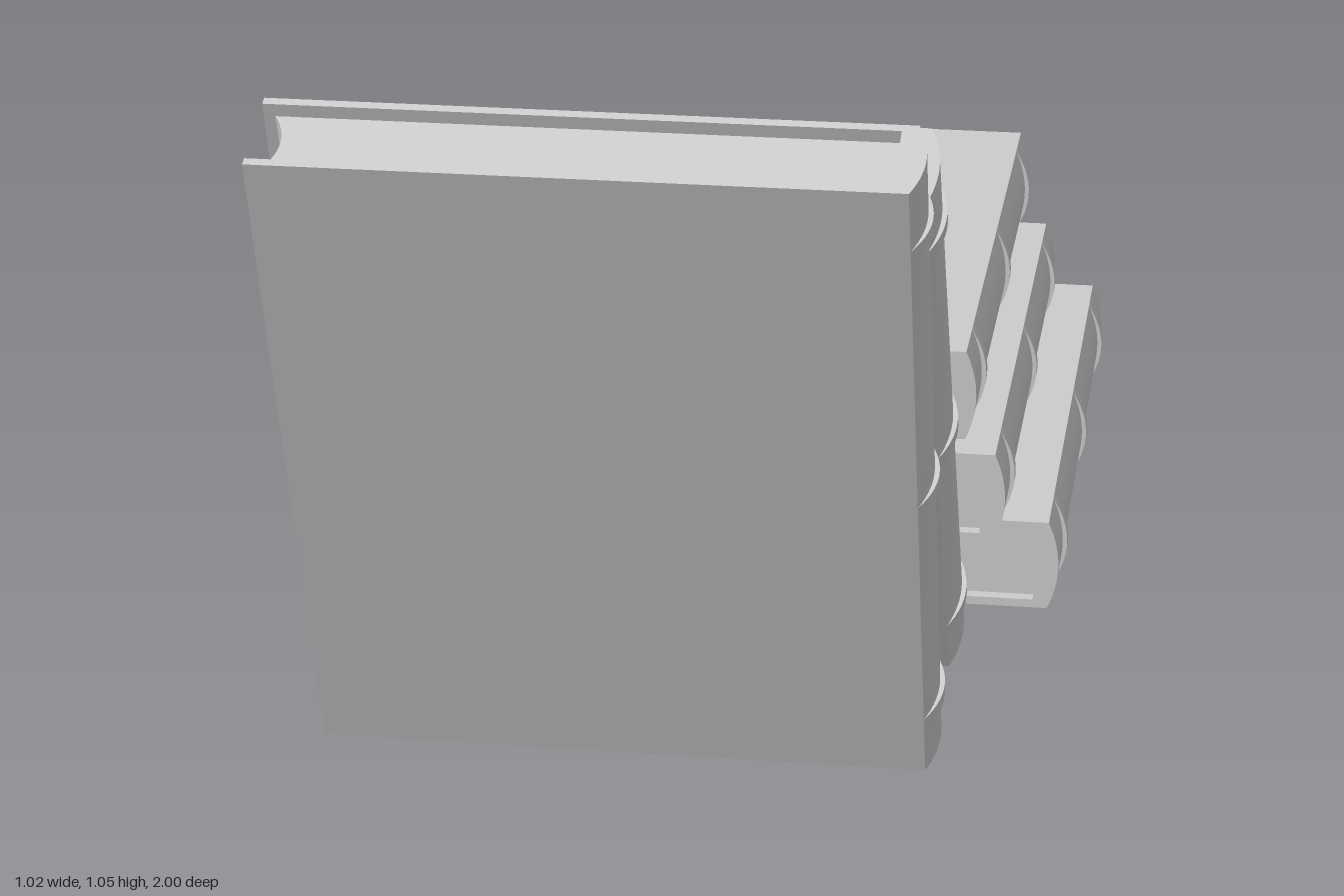
import * as THREE from 'three';
import { toCreasedNormals } from 'three/addons/utils/BufferGeometryUtils.js';

const LENGTH = 1.053, THICK = 0.142, BOARD = 0.013;
const CORNER = 0.872, INNER = 0.85, BULGE = 0.016; // spine corner, spine inside face, spine rounding
const H = THICK / 2, HI = H - BOARD;

// points on a shallow arc at x, running from y = -h to y = +h
function arc(x, h, sag, n = 14) {
  return Array.from({ length: n + 1 }, (_, i) => {
    const t = (i / n) * 2 - 1;
    return new THREE.Vector2(x + sag * (1 - t * t), h * t);
  });
}

// outline in width (x) and thickness (y), extruded along the book's length
function slab(points, length) {
  const geo = new THREE.ExtrudeGeometry(new THREE.Shape(points), { depth: length, bevelEnabled: false });
  geo.translate(0, 0, -length / 2);
  return toCreasedNormals(geo, 0.5);
}

const v = (x, y) => new THREE.Vector2(x, y);

// boards and rounded spine wrapped around the pages
const coverGeo = slab([
  v(0, -H), ...arc(CORNER, H, BULGE), v(0, H),
  v(0, HI), v(INNER, HI), v(INNER, -HI), v(0, -HI),
], LENGTH);

// page block, slightly hollow along the fore edge
const pagesGeo = slab([
  v(INNER, -HI), v(INNER, HI), ...arc(0.016, HI, 0.018).reverse(),
], LENGTH - 0.04);

// raised band across the spine
const bandGeo = slab([
  ...arc(CORNER, H, BULGE + 0.007), ...arc(CORNER - 0.008, H * 0.9, 0).reverse(),
], 0.02);

function makeBook(name, x, y, z, tilt = 0) {
  const book = new THREE.Group();
  book.name = name;
  const material = new THREE.MeshStandardMaterial({ color: 0xcccccc });
  const add = (geo, part, offset = 0) => {
    const mesh = new THREE.Mesh(geo, material);
    mesh.name = part;
    mesh.position.z = offset;
    book.add(mesh);
  };
  add(coverGeo, 'cover');
  add(pagesGeo, 'pages');
  [-0.435, -0.03, 0.42].forEach((offset, i) => add(bandGeo, `spineBand${i + 1}`, offset));
  book.position.set(x, y, z);
  book.rotation.x = THREE.MathUtils.degToRad(tilt);
  return book;
}

export function createModel() {
  const model = new THREE.Group();
  model.name = 'books';
  // lying stack
  model.add(makeBook('bottomBook', -0.385, 0.074, -0.474));
  model.add(makeBook('middleBook', -0.465, 0.203, -0.421));
  model.add(makeBook('topBook', -0.515, 0.351, -0.464));
  // leaning pair, tilted up from lying flat
  model.add(makeBook('frontLeaningBook', -0.515, 0.5275, 0.7575, -70.2));
  model.add(makeBook('rearLeaningBook', -0.515, 0.492, 0.4825, -59.8));
  return model;
}
